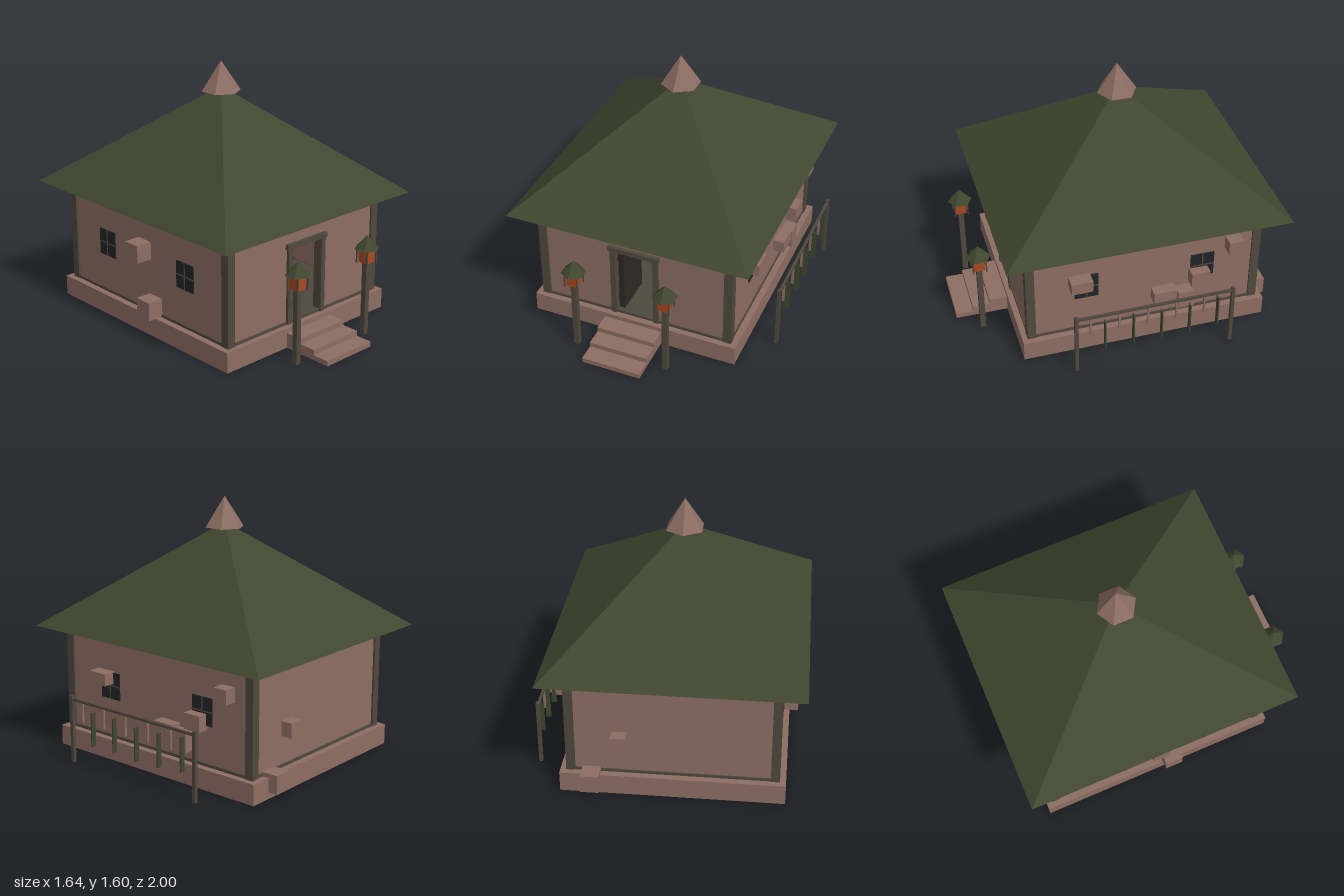
import * as THREE from 'three';

const mat = (name, color) => {
  const m = new THREE.MeshStandardMaterial({ color });
  m.name = name;
  return m;
};

export function createModel() {
  const clay = mat('clay', 0x8d6e63);
  const timber = mat('timber', 0x4f483d);
  const thatch = mat('roof green', 0x40462f);
  const glow = mat('lantern orange', 0xa84820);
  const glass = mat('window dark', 0x212427);
  const doorWood = mat('door wood', 0x2e2823);

  const model = new THREE.Group();
  model.name = 'cottage';
  const CX = -0.045, CZ = -0.11;

  const add = (name, geometry, material, parent = model) => {
    const mesh = new THREE.Mesh(geometry, material);
    mesh.name = name;
    parent.add(mesh);
    return mesh;
  };
  // box given by its lower and upper limits on each axis
  const box = (name, material, x0, x1, y0, y1, z0, z1, parent = model) => {
    const mesh = add(name, new THREE.BoxGeometry(x1 - x0, y1 - y0, z1 - z0), material, parent);
    mesh.position.set((x0 + x1) / 2, (y0 + y1) / 2, (z0 + z1) / 2);
    return mesh;
  };
  const group = (name, x = 0, y = 0, z = 0) => {
    const g = new THREE.Group();
    g.name = name;
    g.position.set(x, y, z);
    model.add(g);
    return g;
  };

  // foundation and front steps
  box('foundation', clay, -0.72, 0.63, 0, 0.128, -0.893, 0.668);
  for (let i = 0; i < 3; i++) {
    box('step', clay, -0.235, 0.145, i * 0.0325, (i + 1) * 0.0325, 0.66, 1 - i * 0.11);
  }

  // house body, centred on its own origin
  const house = group('house', CX, 0, CZ);
  const WX = 0.627, WZ = 0.734, T = 0.03, Y0 = 0.128, Y1 = 0.785;
  box('floor', timber, -WX, WX, Y0, 0.143, -WZ, WZ, house);
  box('backWall', clay, -WX, WX, Y0, Y1, -WZ, -WZ + T, house);
  for (const s of [-1, 1]) {
    const wall = box('sideWall', clay, -T / 2, T / 2, Y0, Y1, -WZ + T, WZ - T, house);
    wall.position.x = s * (WX - T / 2);
  }
  // front wall with an open doorway
  const front = new THREE.Shape([
    [-WX, Y0], [-0.13, Y0], [-0.13, 0.62], [0.135, 0.62], [0.135, Y0], [WX, Y0], [WX, Y1], [-WX, Y1],
  ].map(([x, y]) => new THREE.Vector2(x, y)));
  add('frontWall', new THREE.ExtrudeGeometry(front, { depth: T, bevelEnabled: false }), clay, house)
    .position.z = WZ - T;

  // timber corner posts, sills and top beams
  const PX = 0.639, PZ = 0.746, P = 0.055;
  for (const sx of [-1, 1]) {
    for (const sz of [-1, 1]) {
      const post = box('cornerPost', timber, -P / 2, P / 2, Y0, Y1, -P / 2, P / 2, house);
      post.position.x = sx * (PX - P / 2);
      post.position.z = sz * (PZ - P / 2);
    }
  }
  for (const [name, y0, y1] of [['sill', Y0, 0.146], ['topBeam', 0.75, Y1]]) {
    for (const s of [-1, 1]) {
      const a = box(name, timber, -PX + P, PX - P, y0, y1, -0.02, 0.02, house);
      a.position.z = s * (PZ - 0.025);
      const b = box(name, timber, -0.02, 0.02, y0, y1, -PZ + P, PZ - P, house);
      b.position.x = s * (PX - 0.025);
    }
  }

  // windows, two on each side wall
  for (const s of [-1, 1]) {
    for (const z of [0.37, -0.37]) {
      const w = group('window', CX + s * (WX + 0.008), 0.465, CZ + z);
      box('windowPane', glass, -0.004, 0.004, -0.085, 0.085, -0.075, 0.075, w);
      box('mullion', timber, -0.007, 0.007, -0.085, 0.085, -0.004, 0.004, w);
      box('crossBar', timber, -0.007, 0.007, -0.004, 0.004, -0.075, 0.075, w);
    }
  }

  // door frame and door swung inward
  box('doorJamb', timber, -0.2, -0.167, 0.13, 0.62, 0.58, 0.642);
  box('doorJamb', timber, 0.082, 0.116, 0.13, 0.62, 0.58, 0.642);
  box('lintel', timber, -0.21, 0.123, 0.614, 0.645, 0.575, 0.648);
  box('door', doorWood, -0.163, -0.127, 0.148, 0.6, 0.34, 0.6);
  for (const y of [0.24, 0.53]) box('doorStrap', doorWood, -0.168, -0.122, y - 0.012, y + 0.012, 0.38, 0.602);

  // table and stool inside
  box('tableTop', timber, -0.04, 0.32, 0.3, 0.315, -0.2, 0.1);
  for (const x of [-0.034, 0.295]) {
    for (const z of [-0.19, 0.07]) box('tableLeg', timber, x, x + 0.02, 0.143, 0.3, z, z + 0.02);
  }
  box('stool', timber, -0.13, -0.057, 0.143, 0.24, -0.1, -0.02);

  // four-sided roof with overhanging eaves
  const roof = new THREE.ConeGeometry(Math.SQRT1_2, 1, 4, 1).toNonIndexed();
  roof.rotateY(Math.PI / 4).scale(1.555, 0.653, 1.77);
  roof.computeVertexNormals();
  add('roof', roof, thatch).position.set(CX, 0.785 + 0.653 / 2, -0.115);

  // six-sided cone with flat faces
  const hexCone = (name, r, h, material, y, parent) => {
    const g = new THREE.ConeGeometry(r, h, 6, 1).toNonIndexed();
    g.computeVertexNormals();
    const mesh = add(name, g, material, parent);
    mesh.position.y = y + h / 2;
    return mesh;
  };
  hexCone('roofCap', 0.124, 0.19, clay, 1.41, group('roofCapGroup', CX, 0, -0.113));

  // lantern posts either side of the steps
  for (const x of [-0.34, 0.254]) {
    const l = group('lanternPost', x, 0, 0.85);
    box('post', timber, -0.017, 0.017, 0, 0.468, -0.017, 0.017, l);
    box('lanternLight', glow, -0.034, 0.034, 0.475, 0.552, -0.034, 0.034, l);
    for (const sx of [-0.041, 0.041]) {
      for (const sz of [-0.041, 0.041]) {
        box('lanternBar', timber, sx - 0.004, sx + 0.004, 0.468, 0.562, sz - 0.004, sz + 0.004, l);
      }
    }
    hexCone('lanternRoof', 0.077, 0.083, thatch, 0.562, l);
  }

  // stones sticking out of the walls
  const stones = [
    [0.55, 0.665, 0.48, 0.556, 0.235, 0.37],
    [0.56, 0.662, 0.565, 0.652, -0.717, -0.625],
    [0.55, 0.656, 0.353, 0.452, -0.513, -0.395],
    [0.55, 0.655, 0.27, 0.35, -0.3, -0.155],
    [0.55, 0.662, 0.206, 0.326, -0.412, -0.31],
    [-0.777, -0.66, 0.478, 0.59, -0.178, -0.062],
    [-0.775, -0.66, 0.13, 0.247, -0.083, 0.033],
    [0.225, 0.315, 0.32, 0.412, -0.916, -0.825],
    [0.385, 0.495, 0.042, 0.156, -0.955, -0.845],
  ];
  for (const s of stones) box('wallStone', clay, ...s);

  // drying rack beside the house
  const rack = group('dryingRack', 0.803, 0, 0);
  for (const z of [0.381, -0.607]) box('rackPost', timber, -0.011, 0.011, 0, 0.425, z - 0.011, z + 0.011, rack);
  box('rackRail', timber, -0.008, 0.008, 0.397, 0.412, -0.615, 0.39, rack);
  const drops = [0, 0.006, -0.007, 0, 0.018];
  drops.forEach((d, i) => {
    const z = 0.203 - i * 0.179;
    box('hangingLeaf', thatch, -0.016, 0.016, 0.143 + d, 0.353 + d, z - 0.004, z + 0.004, rack);
    box('hangingStrip', clay, -0.007, 0.007, 0.27, 0.397, z + 0.083, z + 0.095, rack);
  });

  return model;
}
